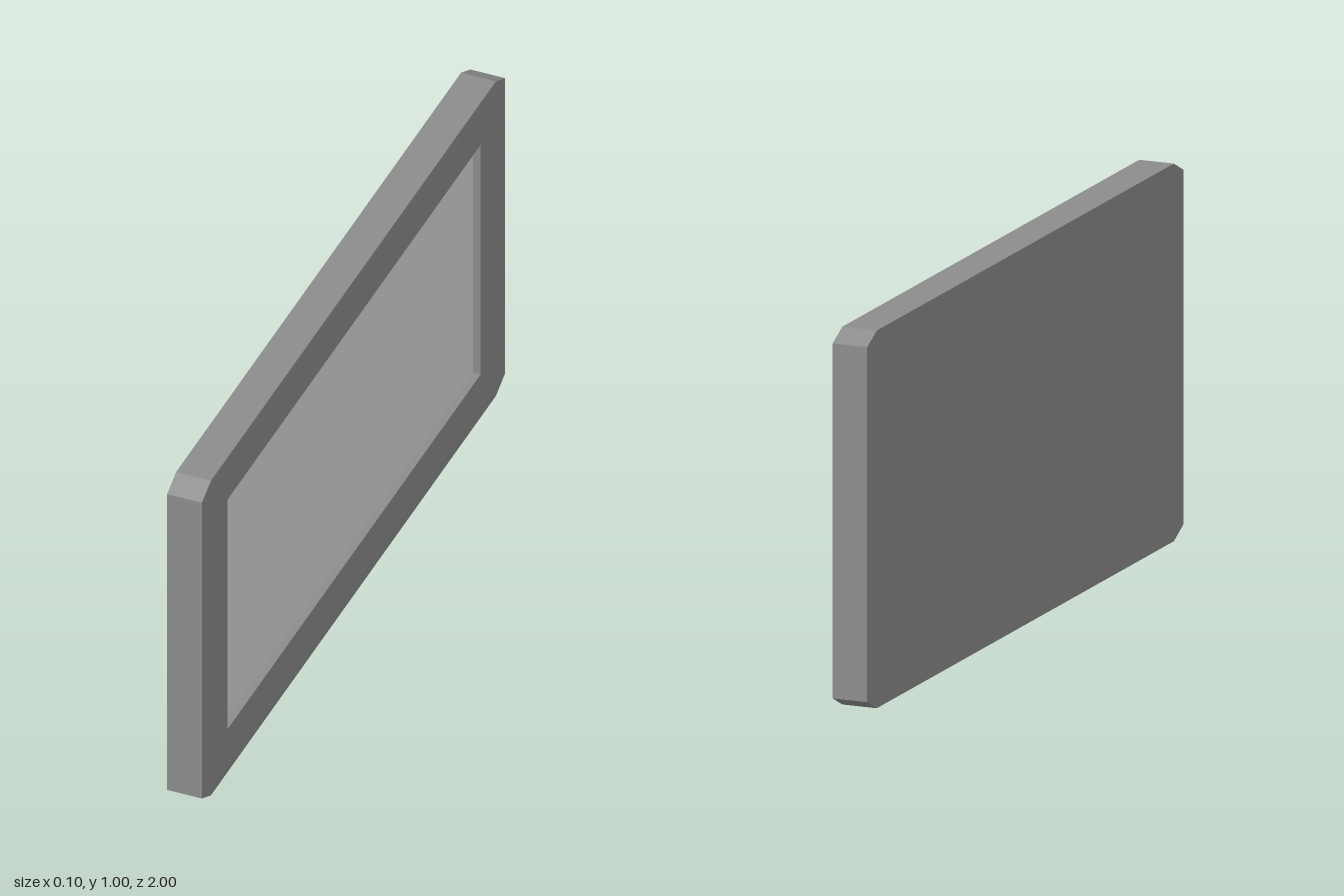
import * as THREE from 'three';

// Rectangle with cut corners in the plane of the given x, counter-clockwise seen from +x
function ring(x, halfZ, y0, y1, cutZ = 0, cutY = 0) {
  const a = halfZ - cutZ;
  return [
    [x, y0, a], [x, y0, -a],
    [x, y0 + cutY, -halfZ], [x, y1 - cutY, -halfZ],
    [x, y1, -a], [x, y1, a],
    [x, y1 - cutY, halfZ], [x, y0 + cutY, halfZ],
  ];
}

// Joins successive rings with flat faces and closes the first one
function loft(rings) {
  const positions = [];
  const triangle = (a, b, c) => positions.push(...a, ...b, ...c);
  for (let r = 0; r < rings.length - 1; r++) {
    const a = rings[r], b = rings[r + 1];
    for (let i = 0; i < 8; i++) {
      const j = (i + 1) % 8;
      if (a[i].join() !== a[j].join()) triangle(a[i], a[j], b[j]);
      if (b[i].join() !== b[j].join()) triangle(a[i], b[j], b[i]);
    }
  }
  const back = rings[0];
  for (let i = 1; i < 7; i++) triangle(back[0], back[i + 1], back[i]);
  const geometry = new THREE.BufferGeometry();
  geometry.setAttribute('position', new THREE.Float32BufferAttribute(positions, 3));
  geometry.computeVertexNormals();
  return geometry;
}

export function createModel() {
  const group = new THREE.Group();
  group.name = 'framedPanel';

  const frameGrey = new THREE.MeshStandardMaterial({ color: 0x8c8c8c });
  frameGrey.name = 'frame grey';
  const panelGrey = new THREE.MeshStandardMaterial({ color: 0xdadada });
  panelGrey.name = 'panel light grey';

  // Frame: solid back, cut corners, shallow bevelled face and recess walls
  const frame = new THREE.Mesh(loft([
    ring(-0.05, 1, 0, 1, 0.06, 0.03),
    ring(0.047, 1, 0, 1, 0.06, 0.03),
    ring(0.049, 0.97, 0.03, 0.97, 0.06, 0.03),
    ring(0.049, 0.835, 0.14, 0.87),
    ring(0.028, 0.835, 0.14, 0.87),
  ]), frameGrey);
  frame.name = 'frame';
  group.add(frame);

  // Light panel at the bottom of the recess
  const panel = new THREE.Mesh(new THREE.PlaneGeometry(1.67, 0.73), panelGrey);
  panel.name = 'recessedPanel';
  panel.rotation.y = Math.PI / 2;
  panel.position.set(0.028, 0.505, 0);
  group.add(panel);

  return group;
}
